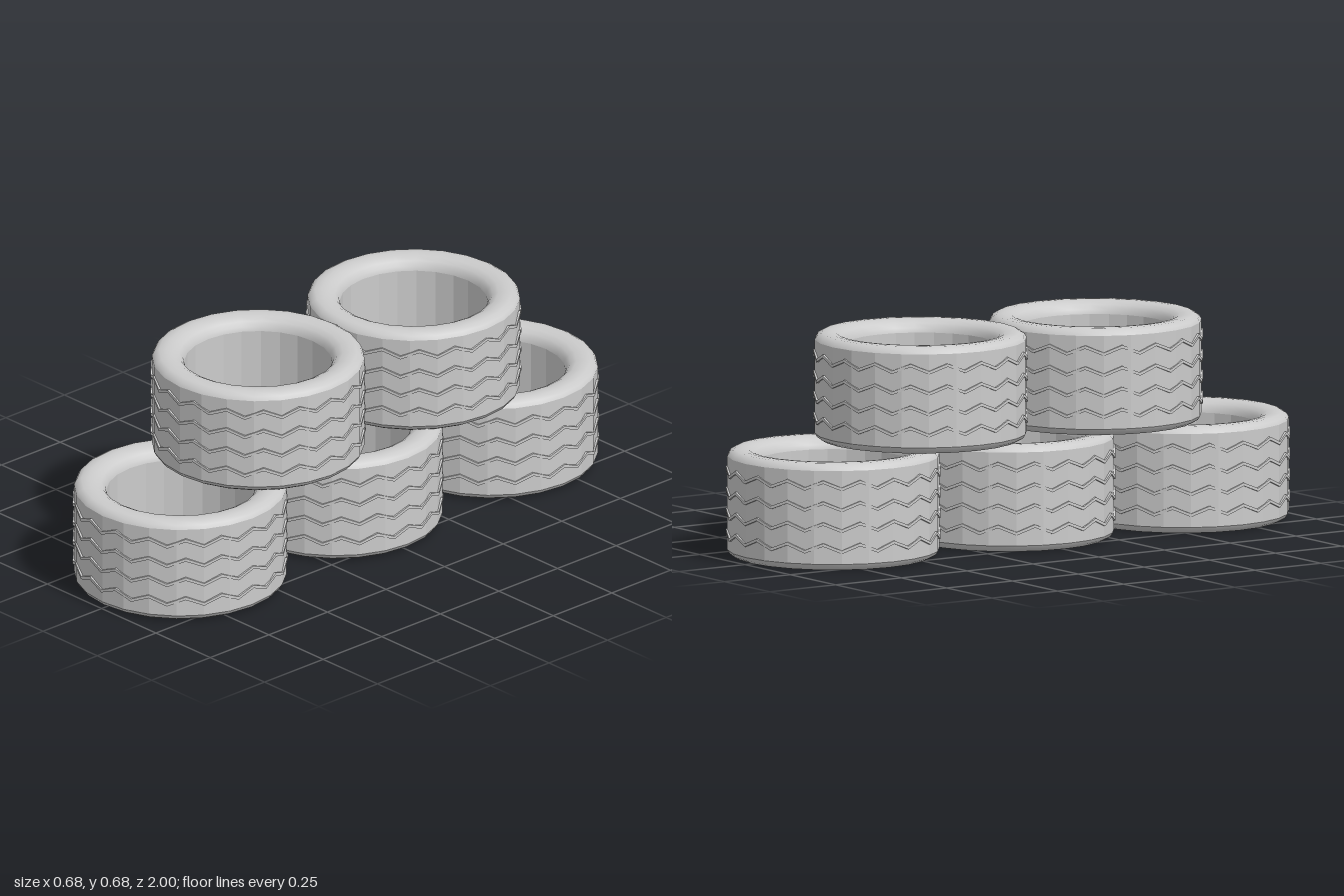
import * as THREE from 'three';

const SEGMENTS = 24;   // facets around a tyre
const HEIGHT = 0.34;   // width of one tyre lying flat
const RADIUS = 0.333;
const BORE = 0.232;

const smooth = new THREE.MeshStandardMaterial({ color: 0xcccccc });
const faceted = new THREE.MeshStandardMaterial({ color: 0xcccccc, flatShading: true });

// Revolve [radius, height] points; listed bottom to top on the outside
function lathe(points) {
  return new THREE.LatheGeometry(points.map(([r, y]) => new THREE.Vector2(r, y)), SEGMENTS);
}

// Zigzag rib: a rectangular section swept around the tread
function zigzagRib(y0) {
  const steps = 36, wave = 0.0115, half = 0.005;
  const section = [[0.325, -half], [0.3375, -half], [0.3375, half], [0.325, half]];
  const positions = [], index = [];
  for (let i = 0; i < steps; i++) {
    const a = (i / steps) * Math.PI * 2;
    const y = y0 + (i % 2 ? wave : -wave);
    for (const [r, dy] of section) positions.push(r * Math.sin(a), y + dy, r * Math.cos(a));
    const n = (i + 1) % steps;
    for (let k = 0; k < 3; k++) {
      const p = i * 4 + k, q = n * 4 + k;
      index.push(p, q, q + 1, p, q + 1, p + 1);
    }
  }
  const g = new THREE.BufferGeometry();
  g.setAttribute('position', new THREE.Float32BufferAttribute(positions, 3));
  g.setIndex(index);
  g.computeVertexNormals();
  return g;
}

// Rounded sidewall, from tread edge over the rim into the bore
const top = HEIGHT;
const sidewall = [
  [RADIUS, top - 0.022], [0.326, top - 0.010], [0.31, top - 0.001], [0.288, top],
  [0.265, top - 0.003], [0.247, top - 0.012], [0.236, top - 0.026], [BORE, top - 0.04],
];
const upperSidewall = lathe(sidewall);
const lowerSidewall = lathe(sidewall.map(([r, y]) => [r, HEIGHT - y]).reverse());
const treadWall = lathe([[RADIUS, 0.022], [RADIUS, HEIGHT - 0.022]]);
const boreWall = lathe([[BORE, HEIGHT - 0.04], [BORE, 0.04]]);
const ribs = [0.0725, 0.139, 0.205, 0.2715].map(zigzagRib);

function makeTyre(name, y, z) {
  const tyre = new THREE.Group();
  tyre.name = name;
  const add = (partName, geometry, material) => {
    const mesh = new THREE.Mesh(geometry, material);
    mesh.name = partName;
    tyre.add(mesh);
  };
  add('upperSidewall', upperSidewall, smooth);
  add('lowerSidewall', lowerSidewall, smooth);
  add('treadWall', treadWall, faceted);
  add('boreWall', boreWall, faceted);
  ribs.forEach((g, i) => add(`treadRib${i + 1}`, g, faceted));
  tyre.position.set(0, y, z);
  return tyre;
}

export function createModel() {
  const model = new THREE.Group();
  model.name = 'tyreStack';
  // Three tyres on the ground, two resting across the joints
  [-0.664, 0, 0.664].forEach((z, i) => model.add(makeTyre(`lowerTyre${i + 1}`, 0, z)));
  [-0.332, 0.332].forEach((z, i) => model.add(makeTyre(`upperTyre${i + 1}`, HEIGHT, z)));
  return model;
}
